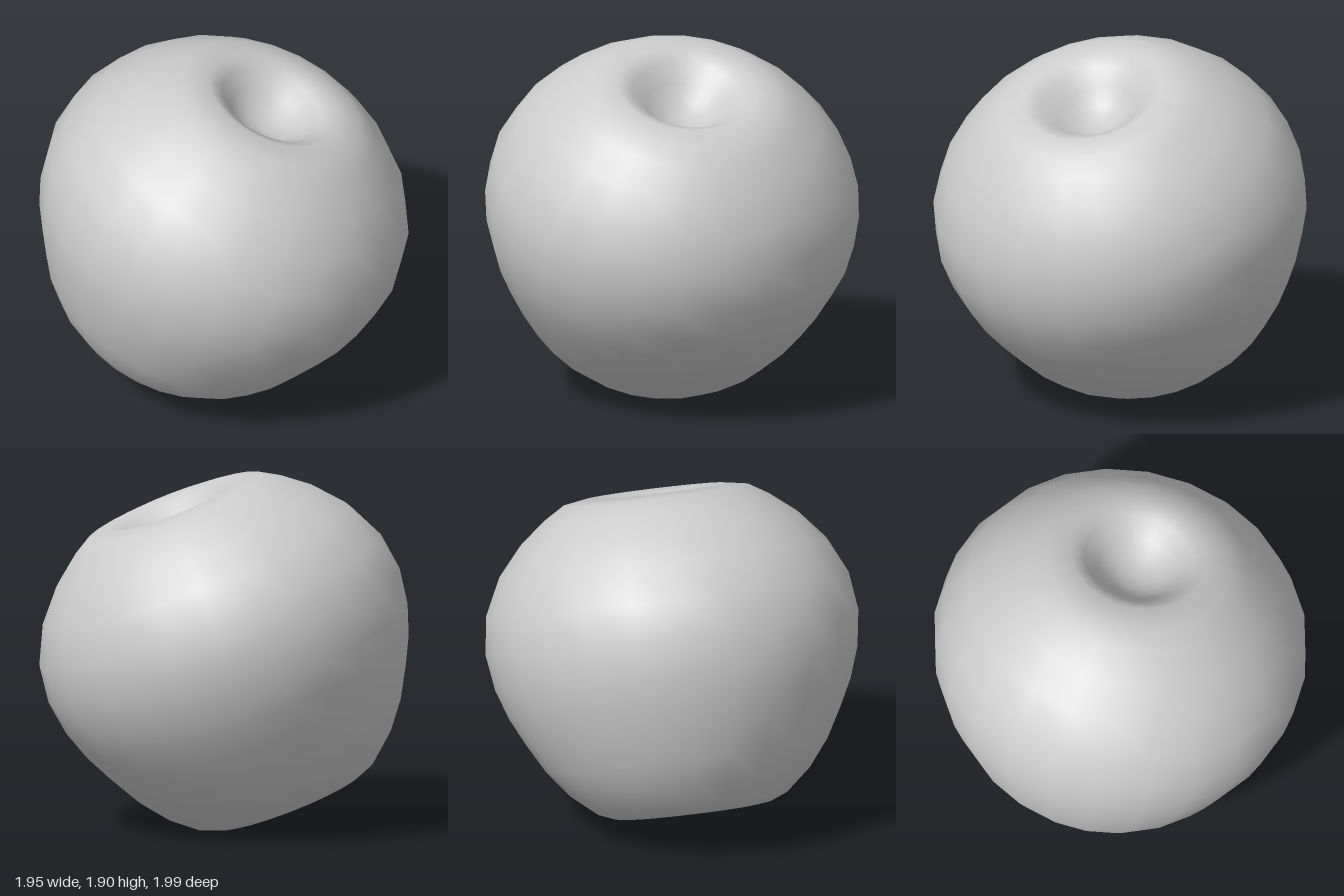
import * as THREE from 'three';

export function createModel() {
  const group = new THREE.Group();
  group.name = 'apple';

  // Half profile [radius, height] along the core axis, from base dimple to stem dimple
  const profile = [
    [0, -0.8], [0.09, -0.81], [0.18, -0.85], [0.26, -0.905], [0.34, -0.925], [0.42, -0.915],
    [0.505, -0.88], [0.64, -0.765], [0.75, -0.625], [0.84, -0.465], [0.912, -0.32],
    [0.967, -0.16], [0.995, 0.03], [0.968, 0.235], [0.873, 0.432],
    [0.737, 0.59], [0.6, 0.7], [0.495, 0.764], [0.37, 0.785], [0.29, 0.75],
    [0.21, 0.67], [0.13, 0.605], [0.06, 0.58], [0, 0.575],
  ].map(([r, h]) => new THREE.Vector2(r, h));

  // Smooth body of revolution, leaning to its left
  const body = new THREE.Mesh(
    new THREE.LatheGeometry(profile, 24),
    new THREE.MeshStandardMaterial({ color: 0xcccccc }),
  );
  body.name = 'appleBody';
  body.rotation.z = THREE.MathUtils.degToRad(-21);
  body.position.set(-0.013, 1.004, 0);
  group.add(body);

  return group;
}
